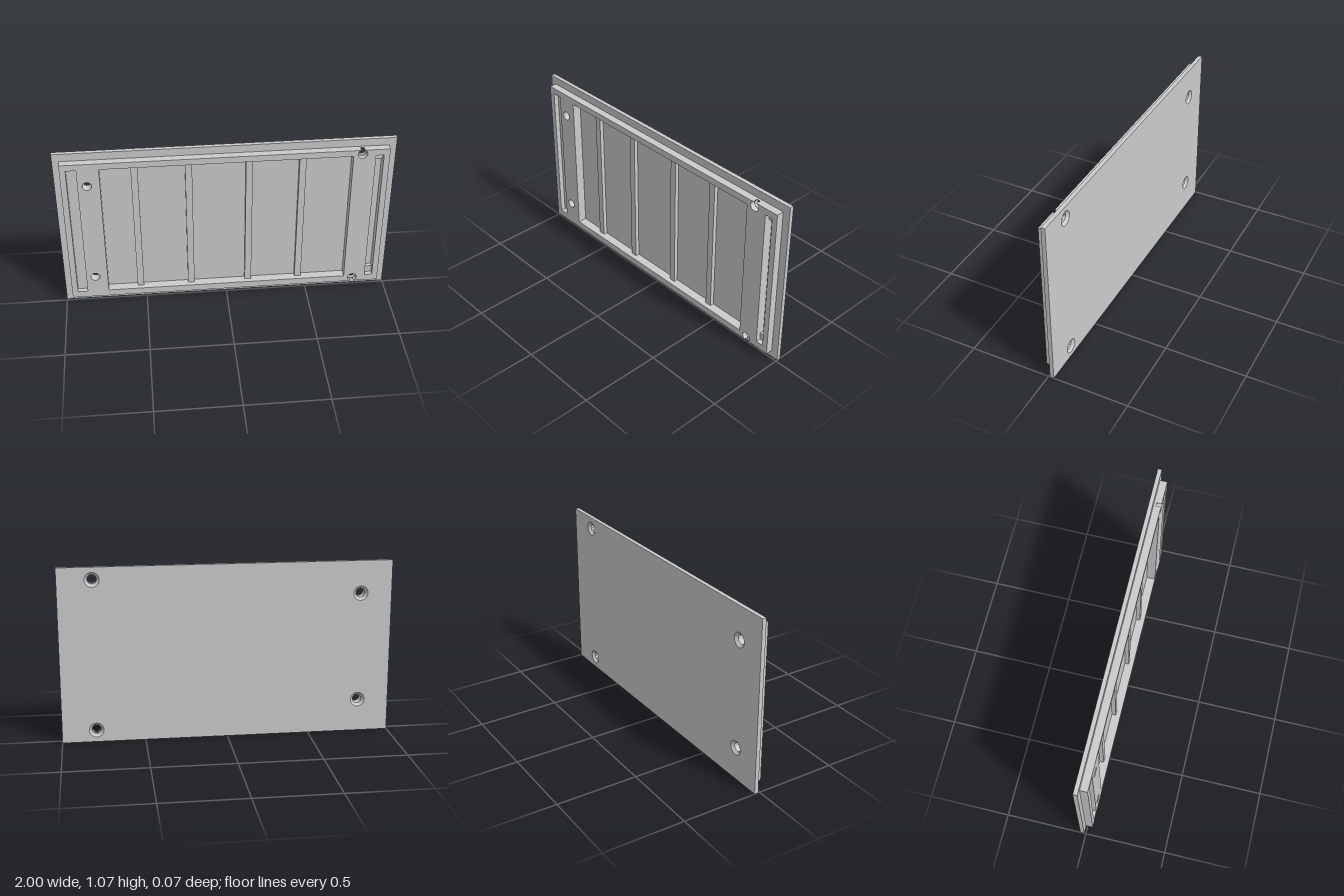
import * as THREE from 'three';

const material = new THREE.MeshStandardMaterial({ color: 0xcccccc });
const innerMaterial = new THREE.MeshStandardMaterial({ color: 0xcccccc, side: THREE.DoubleSide });

// z levels, back to front
const Z = { back: -0.035, floor: -0.02, flange: -0.01, ledge: 0.005, front: 0.035 };
const BORE = 0.0275, EDGE_BORE = 0.0285, SINK = 0.044;
const leftHoles = [[-0.81, 0.2], [-0.81, 0.87]];
const rightHoles = [[0.794, 0.0735], [0.794, 0.995]];
const holes = [...leftHoles, ...rightHoles];

function rect(x0, y0, x1, y1, Type = THREE.Path) {
  const p = new Type();
  p.moveTo(x0, y0);
  p.lineTo(x1, y0);
  p.lineTo(x1, y1);
  p.lineTo(x0, y1);
  p.closePath();
  return p;
}

const circle = r => ([x, y]) => new THREE.Path().absarc(x, y, r, 0, Math.PI * 2, true);

const pocket = () => rect(-0.735, 0.09, 0.74, 0.982);
const deepSlot = () => rect(0.873, 0.135, 0.92, 0.938);

export function createModel() {
  const group = new THREE.Group();

  function add(name, geometry, mat = material) {
    const mesh = new THREE.Mesh(geometry, mat);
    mesh.name = name;
    group.add(mesh);
    return mesh;
  }

  function layer(name, shape, cutouts, z0, z1) {
    shape.holes.push(...cutouts);
    const geometry = new THREE.ExtrudeGeometry(shape, { depth: z1 - z0, bevelEnabled: false, curveSegments: 20 });
    add(name, geometry.translate(0, 0, z0));
  }

  // Flange plate: solid back skin, then the part the pockets sink into
  layer('backPlate', rect(-1, 0, 1, 1.07, THREE.Shape), holes.map(circle(SINK)), Z.back, Z.floor);
  layer('flange', rect(-1, 0, 1, 1.07, THREE.Shape),
    [...holes.map(circle(BORE)), pocket(), deepSlot()], Z.floor, Z.flange);

  // Raised panel, lower half
  const x0 = -0.96, x1 = 0.955, y0 = 0.047, y1 = 1.0215;
  // Thin wall left between the right-hand bores and the panel edge
  layer('raisedPanelBase', rect(x0, y0, x1, y1, THREE.Shape),
    [...leftHoles.map(circle(BORE)), ...rightHoles.map(circle(0.026)), pocket(), deepSlot()], Z.flange, Z.ledge);

  // Raised panel, front half: the right-hand bores break through its edges
  const phi = Math.acos(0.0265 / EDGE_BORE);
  const outline = new THREE.Shape();
  outline.moveTo(x0, y1);
  outline.lineTo(x0, y0);
  outline.absarc(...rightHoles[0], EDGE_BORE, -Math.PI / 2 - phi, -Math.PI / 2 + phi, true);
  outline.lineTo(x1, y0);
  outline.lineTo(x1, y1);
  outline.absarc(...rightHoles[1], EDGE_BORE, Math.PI / 2 - phi, Math.PI / 2 + phi, true);
  outline.closePath();
  layer('raisedPanelFront', outline, [
    ...leftHoles.map(circle(BORE)),
    pocket(),
    rect(-0.925, 0.09, -0.865, 0.982),
    rect(0.873, 0.09, 0.92, 0.982),
  ], Z.ledge, Z.front);

  // Low ribs across the pocket
  for (const x of [-0.535, -0.22, 0.135, 0.45]) {
    const rib = add('rib', new THREE.BoxGeometry(0.04, 0.892, Z.ledge - Z.floor));
    rib.position.set(x, 0.536, (Z.ledge + Z.floor) / 2);
  }

  // Conical screw recesses on the back
  for (const [x, y] of holes) {
    const depth = Z.floor - Z.back;
    const cone = new THREE.CylinderGeometry(BORE, SINK, depth, 40, 1, true).rotateX(Math.PI / 2);
    add('countersink', cone, innerMaterial).position.set(x, y, (Z.back + Z.floor) / 2);
  }

  return group;
}
